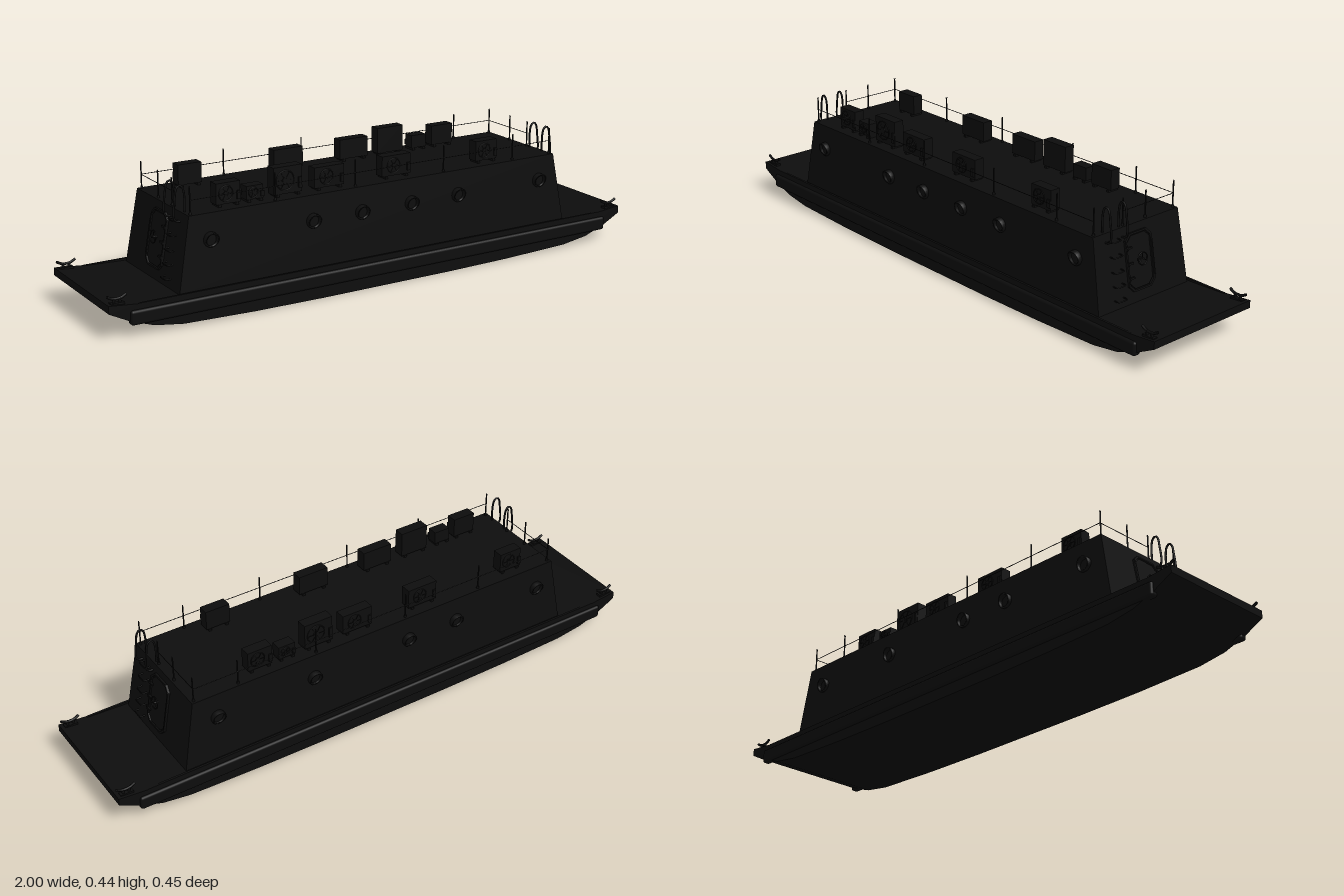
import * as THREE from 'three';
import { RoundedBoxGeometry } from 'three/addons/geometries/RoundedBoxGeometry.js';

const black = new THREE.MeshStandardMaterial({ color: 0x0d0d0d, side: THREE.DoubleSide });
const V = (x, y, z) => new THREE.Vector3(x, y, z);
const deckY = 0.1, roofY = 0.345;
// Sloping wall positions at a given height
const endX = (y) => 0.755 - (y - deckY) * 0.18;
const sideZ = (y) => 0.198 - (y - deckY) * 0.045;

export function createModel() {
  const model = new THREE.Group();
  model.name = 'deckhouseBarge';

  const add = (name, geometry, x = 0, y = 0, z = 0, parent = model) => {
    const mesh = new THREE.Mesh(geometry, black);
    mesh.name = name;
    mesh.position.set(x, y, z);
    parent.add(mesh);
    return mesh;
  };
  const box = (name, w, h, d, x, y, z, parent) => add(name, new THREE.BoxGeometry(w, h, d), x, y, z, parent);
  const rod = (name, a, b, r, parent = model) => {
    const mesh = add(name, new THREE.CylinderGeometry(r, r, a.distanceTo(b), 8), 0, 0, 0, parent);
    mesh.position.copy(a).add(b).multiplyScalar(0.5);
    mesh.quaternion.setFromUnitVectors(V(0, 1, 0), b.clone().sub(a).normalize());
    return mesh;
  };
  const tube = (name, points, r, parent = model) =>
    add(name, new THREE.TubeGeometry(new THREE.CatmullRomCurve3(points), 28, r, 8), 0, 0, 0, parent);

  // Hull: side profile with raked ends, extruded across the beam
  const half = [[0.25, 0], [0.5, 0.003], [0.75, 0.011], [0.85, 0.026], [0.93, 0.054], [1, 0.09], [1, 0.116], [0.9, 0.106], [0.77, deckY]];
  const outline = [...half, ...half.map(([x, y]) => [-x, y]).reverse()];
  const hull = new THREE.ExtrudeGeometry(new THREE.Shape(outline.map(([x, y]) => new THREE.Vector2(x, y))), { depth: 0.43, bevelEnabled: false });
  add('hull', hull, 0, 0, -0.215);

  // Deckhouse: a box tapering towards the roof
  const house = new THREE.BoxGeometry(2, roofY - deckY, 2);
  house.translate(0, (roofY + deckY) / 2, 0);
  const p = house.attributes.position;
  for (let i = 0; i < p.count; i++) p.setXYZ(i, p.getX(i) * endX(p.getY(i)), p.getY(i), p.getZ(i) * sideZ(p.getY(i)));
  house.computeVertexNormals();
  add('deckhouse', house);

  // Rubbing strakes along both sides
  for (const s of [-1, 1]) {
    add('rubbingStrake', new RoundedBoxGeometry(1.86, 0.048, 0.03, 3, 0.009), 0, 0.064, s * 0.209);
    box('deckEdge', 1.8, 0.008, 0.008, 0, 0.103, s * 0.211);
  }

  // Mooring cleats on the four corners
  for (const sx of [-1, 1]) for (const sz of [-1, 1]) {
    const cleat = new THREE.Group();
    cleat.name = 'mooringCleat';
    cleat.position.set(sx * 0.965, 0.112, sz * 0.197);
    model.add(cleat);
    box('cleatBase', 0.045, 0.008, 0.018, 0, 0.002, 0, cleat);
    for (const x of [-0.01, 0.01]) rod('cleatLeg', V(x, 0, 0), V(x, 0.019, 0), 0.005, cleat);
    tube('cleatHorns', [V(-0.032, 0.027, 0), V(-0.013, 0.018, 0), V(0.013, 0.018, 0), V(0.032, 0.027, 0)], 0.0045, cleat);
  }

  // Portholes: round rims reaching further out at the top
  const rim = new THREE.LatheGeometry([[0.019, 0], [0.025, 0], [0.025, 1], [0.019, 1], [0.019, 0]].map(([x, y]) => new THREE.Vector2(x, y)), 24);
  rim.rotateX(Math.PI / 2);
  const r = rim.attributes.position;
  for (let i = 0; i < r.count; i++) {
    const y = r.getY(i);
    r.setZ(i, -0.045 * y + r.getZ(i) * (0.012 + 0.3 * y));
  }
  rim.computeVertexNormals();
  const porthole = (x, s) => {
    const g = new THREE.Group();
    g.name = 'porthole';
    g.position.set(x, 0.26, s * sideZ(0.26));
    if (s < 0) g.rotation.y = Math.PI;
    model.add(g);
    add('portholeRim', rim, 0, 0, 0, g);
    add('portholeGlass', new THREE.CircleGeometry(0.02, 24), 0, 0, 0.0015, g);
  };
  [-0.64, -0.27, -0.085, 0.11, 0.3, 0.645].forEach((x) => porthole(x, 1));
  [-0.645, -0.3, -0.105, 0.267, 0.627].forEach((x) => porthole(x, -1));

  // Rooftop cooling units: casing on feet with a fan facing outboard
  const unit = (x, w, top, s) => {
    const g = new THREE.Group();
    g.name = 'coolingUnit';
    g.position.set(x, roofY, s * 0.133);
    if (s < 0) g.rotation.y = Math.PI;
    model.add(g);
    const h = top - roofY - 0.008;
    box('casing', w, h, 0.038, 0, 0.008 + h / 2, 0, g);
    for (const sx of [-1, 1]) box('foot', 0.01, 0.008, 0.044, sx * w * 0.36, 0.004, 0, g);
    const fr = Math.min(h, w) * 0.36;
    add('fanRing', new THREE.TorusGeometry(fr, 0.0018, 6, 24), -w * 0.1, 0.008 + h / 2, 0.0205, g);
    add('fanHub', new THREE.CylinderGeometry(fr * 0.3, fr * 0.3, 0.004, 16), -w * 0.1, 0.008 + h / 2, 0.02, g).rotation.x = Math.PI / 2;
    for (let i = 0; i < 3; i++)
      box('fanGrille', fr * 2, 0.0015, 0.0015, -w * 0.1, 0.008 + h / 2, 0.0215, g).rotation.z = i * Math.PI / 3;
    box('valveCover', 0.012, h * 0.4, 0.006, w * 0.42, 0.008 + h * 0.35, 0.021, g);
  };
  const units = [[0.445, 0.088, 0.422], [0.075, 0.112, 0.422], [0.185, 0.112, 0.422], [0.34, 0.105, 0.443], [0.46, 0.06, 0.398], [0.555, 0.085, 0.422]];
  units.forEach(([x, w, t], i) => unit(i < 2 ? x : -x, w, t, 1));
  [[-0.555, 0.085, 0.422], [-0.185, 0.112, 0.422], [0.075, 0.112, 0.422], [0.225, 0.105, 0.443], [0.345, 0.06, 0.398], [0.445, 0.088, 0.422]]
    .forEach(([x, w, t]) => unit(x, w, t, -1));

  // Roof railing: posts with ring tops and a single wire
  const wireY = 0.392;
  const post = (x, z) => {
    rod('railPost', V(x, roofY, z), V(x, 0.432, z), 0.0025);
    add('postEye', new THREE.TorusGeometry(0.0028, 0.001, 6, 12), x, 0.433, z).rotation.y = Math.PI / 2;
    add('postFoot', new THREE.CylinderGeometry(0.004, 0.005, 0.008, 8), x, roofY + 0.004, z);
  };
  for (const s of [-1, 1]) {
    [-0.7, -0.4, -0.1, 0.25, 0.54, 0.7].forEach((x) => post(x, s * 0.175));
    rod('sideWire', V(-0.7, wireY, s * 0.177), V(0.7, wireY, s * 0.177), 0.0012);
    [-0.05, 0.05].forEach((z) => post(s * 0.7, z));
    rod('endWire', V(s * 0.7, wireY, -0.175), V(s * 0.7, wireY, 0.05), 0.0012);
  }

  // Watertight door outline with cut corners
  const doorShape = (w, h, c) => new THREE.Shape([[-w + c, -h], [w - c, -h], [w, -h + c], [w, h - c], [w - c, h], [-w + c, h], [-w, h - c], [-w, -h + c]].map(([x, y]) => new THREE.Vector2(x, y)));
  const frameShape = doorShape(0.057, 0.094, 0.02);
  frameShape.holes.push(doorShape(0.051, 0.088, 0.018));

  // Each end wall: door, ladder and curved handrails
  for (const s of [-1, 1]) {
    const door = new THREE.Group();
    door.name = 'endDoor';
    door.position.set(s * endX(0.228), 0.228, 0.005);
    door.rotation.set(0, s * Math.PI / 2, 0);
    const tilt = new THREE.Group();
    tilt.rotation.x = -Math.atan(0.18);
    door.add(tilt);
    model.add(door);
    add('doorFrame', new THREE.ExtrudeGeometry(frameShape, { depth: 0.008, bevelEnabled: false }), 0, 0, 0, tilt);
    add('doorPanel', new THREE.ExtrudeGeometry(doorShape(0.048, 0.085, 0.018), { depth: 0.005, bevelEnabled: false }), 0, 0, 0, tilt);
    add('doorWheel', new THREE.TorusGeometry(0.02, 0.0022, 8, 28), 0, 0.006, 0.018, tilt);
    for (let i = 0; i < 3; i++) {
      const a = Math.PI / 2 + i * Math.PI * 2 / 3;
      rod('wheelSpoke', V(0, 0.006, 0.018), V(0.02 * Math.cos(a), 0.006 + 0.02 * Math.sin(a), 0.018), 0.0015, tilt);
    }
    rod('wheelShaft', V(0, 0.006, 0), V(0, 0.006, 0.021), 0.004, tilt);
    for (const y of [-0.047, 0, 0.05]) {
      box('doorLatch', 0.022, 0.006, 0.007, -s * 0.047, y, 0.01, tilt);
      rod('latchPin', V(-s * 0.055, y - 0.007, 0.01), V(-s * 0.055, y + 0.007, 0.01), 0.003, tilt);
    }
    rod('hingeBar', V(s * 0.057, -0.06, 0.008), V(s * 0.057, 0.052, 0.008), 0.0018, tilt);

    // Ladder rungs bent out from the wall
    for (const y of [0.13, 0.175, 0.22, 0.268, 0.316]) {
      const x = endX(y);
      const at = (dx, z) => V(s * (x + dx), y, z);
      tube('ladderRung', [at(-0.003, 0.086), at(0.016, 0.087), at(0.018, 0.092), at(0.018, 0.119), at(0.016, 0.124), at(-0.003, 0.125)], 0.0022);
    }
    // Handrails arching from the roof over to the wall
    for (const z of [0.067, 0.137])
      tube('ladderHandrail', [V(s * 0.7, roofY, z), V(s * 0.7, 0.4, z), V(s * 0.706, 0.425, z), V(s * 0.717, 0.432, z), V(s * 0.727, 0.422, z), V(s * 0.733, 0.39, z), V(s * 0.738, 0.335, z), V(s * 0.732, 0.32, z), V(s * 0.712, 0.316, z)], 0.0035);
  }
  return model;
}
